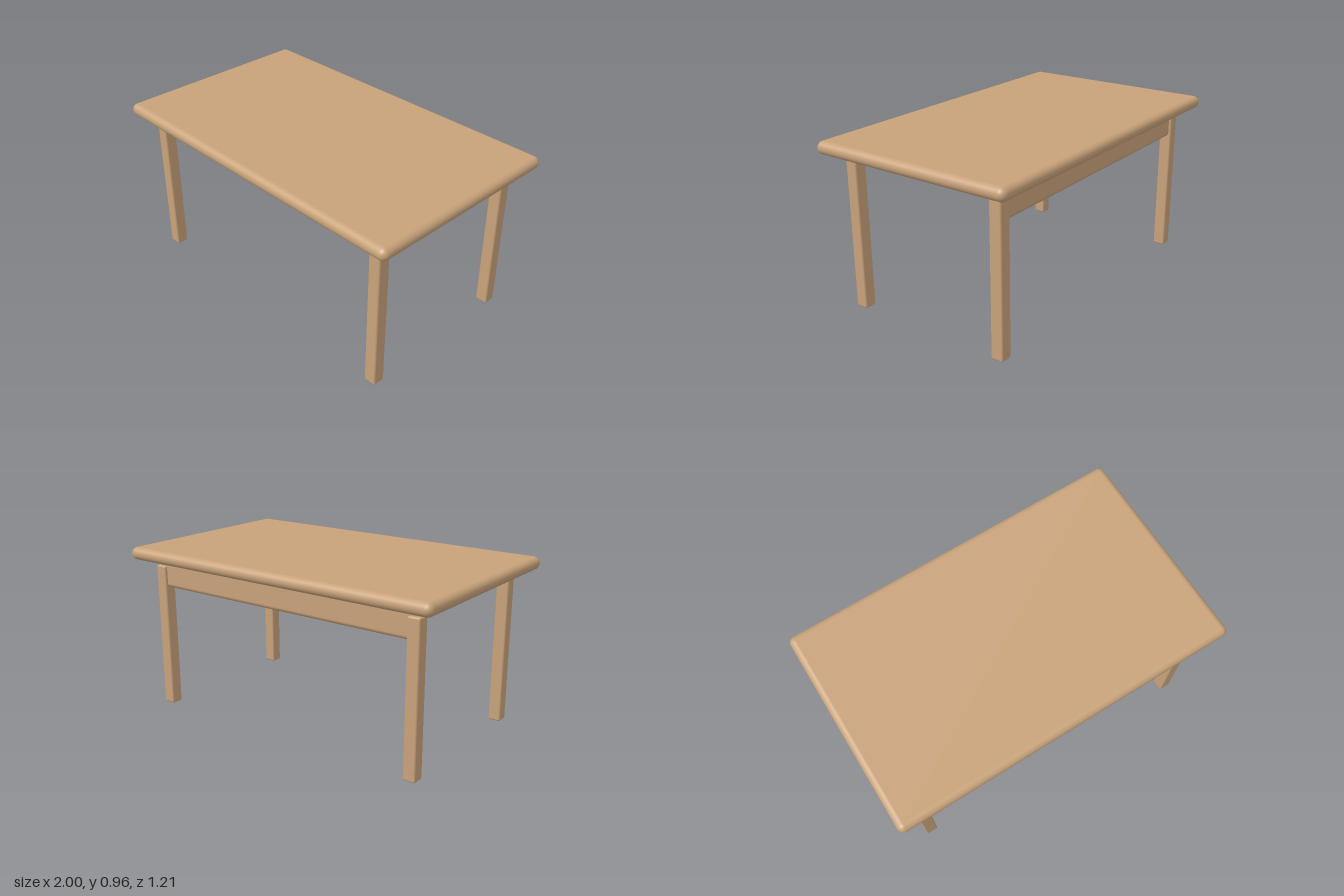
import * as THREE from 'three';
import { RoundedBoxGeometry } from 'three/addons/geometries/RoundedBoxGeometry.js';

export function createModel() {
  const table = new THREE.Group();
  table.name = 'table';
  const wood = new THREE.MeshStandardMaterial({ color: 0xc8a27a });

  // Rounded wooden board, placed by its centre
  function board(name, size, radius, segments, position) {
    const mesh = new THREE.Mesh(new RoundedBoxGeometry(...size, segments, radius), wood);
    mesh.name = name;
    mesh.position.set(...position);
    table.add(mesh);
  }

  // Tabletop with fully rounded edges
  board('tabletop', [2, 0.073, 1.205], 0.0364, 6, [0, 0.9225, 0]);

  // Four square legs with softly eased edges
  for (const [end, z] of [['front', 0.467], ['back', -0.467]]) {
    for (const [side, x] of [['Left', 0.853], ['Right', -0.853]]) {
      board(`${end}${side}Leg`, [0.072, 0.852, 0.072], 0.01, 3, [x, 0.426, z]);
    }
  }

  // Single apron between the back legs, its ends let into them
  board('backApron', [1.756, 0.158, 0.058], 0.025, 5, [0, 0.803, -0.459]);

  return table;
}
